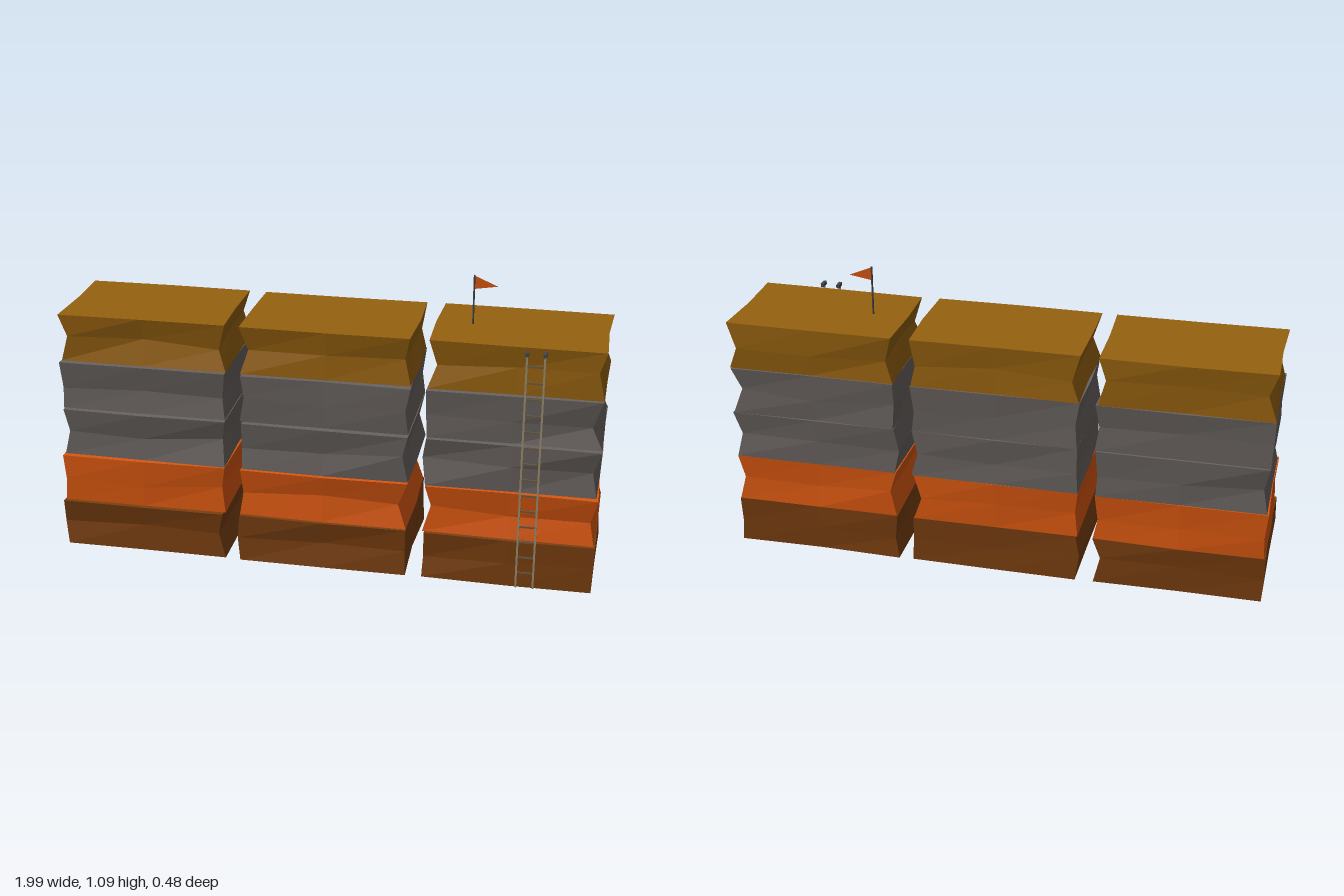
import * as THREE from 'three';

const mat = (name, color, side = THREE.FrontSide) => {
  const m = new THREE.MeshStandardMaterial({ color, side });
  m.name = name;
  return m;
};

function seeded(seed) {
  let s = seed;
  return () => {
    s = (s * 16807) % 2147483647;
    return (s / 2147483647) * 2 - 1;
  };
}

const LAYER_H = 0.18, BASE_Y = 0.006, BACK = -0.236;
// front edge of each layer, from the bottom up
const FRONTS = [0.232, 0.216, 0.202, 0.186, 0.166];
const STACK_X = [-0.68, 0, 0.68];
// [left, right] shift of the waist of each block, in hundredths of a unit, bottom layer first
const WAISTS = [
  [[-0.5, -2.5], [0.8, -1], [2.2, -1], [0, -1], [2.7, -2.7]],
  [[-1, 0], [0.8, -3], [0.5, -2], [1.5, -1.2], [2.6, -2.2]],
  [[0.6, 0], [2.6, -2.2], [-1, -2.2], [0, -3.5], [3, -2.6]],
];

// rough-cut block: a 2x2x2 box whose rim wanders and whose waist is pinched
function blockGeometry(depth, waist, rand) {
  const w = 0.618;
  const g = new THREE.BoxGeometry(w, LAYER_H - 0.001, depth, 2, 2, 2).toNonIndexed();
  const p = g.attributes.position;
  const moves = new Map();
  for (let i = 0; i < p.count; i++) {
    const sx = Math.sign(Math.round(p.getX(i) * 100));
    const sy = Math.sign(Math.round(p.getY(i) * 100));
    const sz = Math.sign(Math.round(p.getZ(i) * 100));
    const key = `${sx},${sy},${sz}`;
    if (!moves.has(key)) {
      let dx = rand() * 0.006, dy = 0, dz = rand() * 0.005;
      if (sy === 0) {
        dx = sx * sx * (sx < 0 ? waist[0] : waist[1]) * 0.01 + rand() * 0.003;
        dz = sz > 0 ? -0.009 + rand() * 0.013 : sz < 0 ? 0.005 + rand() * 0.007 : 0;
        dy = rand() * 0.014;
      }
      moves.set(key, [dx, dy, dz]);
    }
    const d = moves.get(key);
    p.setXYZ(i, p.getX(i) + d[0], p.getY(i) + d[1], p.getZ(i) + d[2]);
  }
  g.computeVertexNormals();
  return g;
}

export function createModel() {
  const model = new THREE.Group();
  model.name = 'blockWall';
  const brown = mat('brown', 0x7a3f10);
  const orange = mat('orange', 0xdb5810);
  const grey = mat('stoneGrey', 0x696360);
  const gold = mat('ochre', 0x96610f);
  const dark = mat('darkMetal', 0x45474a);
  const tan = mat('ladderTan', 0x9c9072);
  const rungMat = mat('rungBrown', 0x6b5a42);
  const flagMat = mat('flagOrange', 0xdb5810, THREE.DoubleSide);
  const layers = [brown, orange, grey, grey, gold];

  const add = (parent, name, geometry, material, x = 0, y = 0, z = 0) => {
    const mesh = new THREE.Mesh(geometry, material);
    mesh.name = name;
    mesh.position.set(x, y, z);
    parent.add(mesh);
    return mesh;
  };

  // three stacks of five blocks, with the front stepping back upwards
  const rand = seeded(4711);
  STACK_X.forEach((x, s) => {
    const stack = new THREE.Group();
    stack.name = `stack${s + 1}`;
    layers.forEach((material, i) => {
      add(stack, `block${i + 1}`, blockGeometry(FRONTS[i] - BACK, WAISTS[s][i], rand), material,
        x, BASE_Y + (i + 0.5) * LAYER_H, (FRONTS[i] + BACK) / 2);
    });
    model.add(stack);
  });

  // ladder leaning slightly towards the wall
  const ladder = new THREE.Group();
  ladder.name = 'ladder';
  const ladderTop = 0.9, half = 0.031;
  for (const side of [-1, 1]) {
    add(ladder, 'ladderRail', new THREE.BoxGeometry(0.007, ladderTop, 0.006), tan, side * half, ladderTop / 2);
    add(ladder, 'ladderHook', new THREE.BoxGeometry(0.012, 0.013, 0.034), dark, side * half, 0.898, -0.005);
  }
  for (let i = 0; i < 14; i++) {
    add(ladder, 'ladderRung', new THREE.BoxGeometry(half * 2, 0.006, 0.005), rungMat, 0, 0.06 + i * 0.061);
  }
  ladder.position.set(0.748, 0.004, 0.235);
  ladder.rotation.x = -0.014;
  model.add(ladder);

  // pennant on a pole
  const flag = new THREE.Group();
  flag.name = 'flag';
  add(flag, 'flagPole', new THREE.CylinderGeometry(0.0035, 0.0035, 0.185, 6), dark, 0, 0.0925);
  const pennant = new THREE.Shape([
    new THREE.Vector2(0, 0.183), new THREE.Vector2(0, 0.133), new THREE.Vector2(0.085, 0.147),
  ]);
  add(flag, 'pennant', new THREE.ShapeGeometry(pennant), flagMat);
  flag.position.set(0.5, 0.904, -0.034);
  model.add(flag);

  return model;
}
